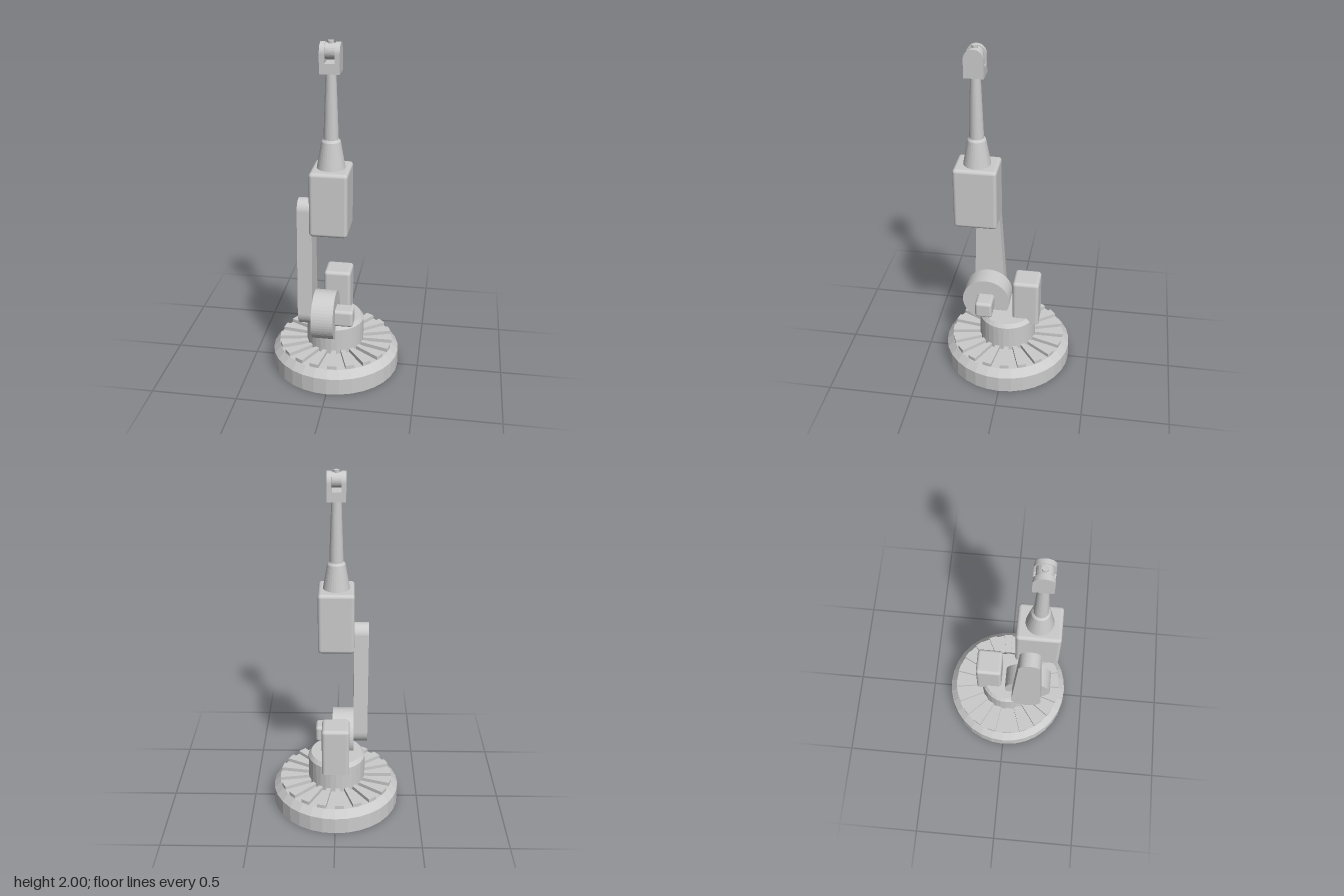
import * as THREE from 'three';
import { RoundedBoxGeometry } from 'three/addons/geometries/RoundedBoxGeometry.js';

const smooth = new THREE.MeshStandardMaterial({ color: 0xcccccc });
const flat = new THREE.MeshStandardMaterial({ color: 0xcccccc, flatShading: true });

export function createModel() {
  const group = new THREE.Group();

  const add = (name, geometry, material = flat, x = 0, y = 0, z = 0) => {
    const mesh = new THREE.Mesh(geometry, material);
    mesh.name = name;
    mesh.position.set(x, y, z);
    group.add(mesh);
    return mesh;
  };

  // turned part from [radius, height] pairs
  const turned = (name, profile, segments, x = 0, z = 0) =>
    add(name, new THREE.LatheGeometry(profile.map(([r, y]) => new THREE.Vector2(r, y)), segments), flat, x, 0, z);

  // rounded box from its minimum and maximum corners
  const roundedBox = (name, min, max, radius) => {
    const s = max.map((v, i) => v - min[i]);
    const c = max.map((v, i) => (v + min[i]) / 2);
    return add(name, new RoundedBoxGeometry(...s, 4, radius), smooth, ...c);
  };

  // outline drawn in (z, y), extruded along x from x0 to x1
  const sidePlate = (name, shape, x0, x1) => {
    const geometry = new THREE.ExtrudeGeometry(shape, { depth: x1 - x0, bevelEnabled: false, curveSegments: 16 });
    geometry.rotateY(-Math.PI / 2); // shape x becomes z, depth becomes -x
    return add(name, geometry, flat, x1, 0, 0);
  };

  // cylinder lying along x
  const axle = (name, radius, x0, x1, y, z, segments) => {
    const geometry = new THREE.CylinderGeometry(radius, radius, x1 - x0, segments);
    geometry.rotateZ(Math.PI / 2);
    return add(name, geometry, flat, (x0 + x1) / 2, y, z);
  };

  // base with chamfered rim
  turned('base', [[0, 0], [0.378, 0], [0.378, 0.1], [0.34, 0.143], [0, 0.143]], 32);

  // raised radial ribs on the base
  const ribCount = 20;
  const halfAngle = Math.PI / ribCount / 2;
  for (let i = 0; i < ribCount; i++) {
    const rib = new THREE.Shape();
    rib.absarc(0, 0, 0.338, -halfAngle, halfAngle, false);
    rib.absarc(0, 0, 0.15, halfAngle, -halfAngle, true);
    const geometry = new THREE.ExtrudeGeometry(rib, { depth: 0.03, bevelEnabled: false, curveSegments: 2 });
    geometry.rotateX(-Math.PI / 2);
    geometry.rotateY((i + 0.5) * 2 * Math.PI / ribCount - halfAngle);
    add('baseRib', geometry, flat, 0, 0.135, 0);
  }

  // turntable
  turned('turntable', [[0, 0.14], [0.17, 0.14], [0.17, 0.302], [0.153, 0.325], [0, 0.325]], 32, -0.004, 0.002);

  // rear motor, its underside flattened to a sharp edge
  const rear = roundedBox('rearMotor', [-0.08, 0.26, -0.194], [0.08, 0.575, -0.036], 0.02);
  const rearPos = rear.geometry.attributes.position;
  const floor = 0.282 - rear.position.y;
  for (let i = 0; i < rearPos.count; i++) rearPos.setY(i, Math.max(rearPos.getY(i), floor));

  // shoulder drum and its small motor
  axle('shoulderDrum', 0.143, -0.106, 0.021, 0.388, 0.133, 48);
  roundedBox('shoulderMotor', [-0.01, 0.335, 0.082], [0.125, 0.437, 0.184], 0.018);

  // upper arm: tapered bar with round ends
  const arm = new THREE.Shape();
  arm.absarc(0.13, 0.425, 0.092, Math.PI, Math.PI * 2, false);
  arm.absarc(0.138, 1.053, 0.062, 0, Math.PI, false);
  sidePlate('upperArm', arm, -0.189, -0.105);

  // elbow housing
  roundedBox('elbowHousing', [-0.105, 0.952, 0.05], [0.105, 1.318, 0.297], 0.02);

  // forearm: conical collar and slim tube
  const wristZ = 0.173;
  turned('forearmCollar', [[0, 1.31], [0.079, 1.31], [0.052, 1.465], [0.042, 1.478], [0, 1.478]], 32, 0, wristZ);
  turned('forearmTube', [[0, 1.47], [0.041, 1.47], [0.028, 1.84], [0, 1.84]], 32, 0, wristZ);

  // wrist fork: block with two round-topped cheeks
  add('forkBase', new THREE.BoxGeometry(0.107, 0.054, 0.108), flat, 0, 1.862, wristZ);
  const cheek = new THREE.Shape();
  cheek.moveTo(wristZ - 0.054, 1.888);
  cheek.lineTo(wristZ + 0.054, 1.888);
  cheek.absarc(wristZ, 1.938, 0.054, 0, Math.PI, false);
  for (const [x0, x1] of [[-0.0535, -0.027], [0.027, 0.0535]]) sidePlate('forkCheek', cheek, x0, x1);

  // wrist roller with a tool pin on top
  axle('wristRoller', 0.043, -0.027, 0.027, 1.945, wristZ, 24);
  add('toolPin', new THREE.CylinderGeometry(0.016, 0.016, 0.04, 20), flat, 0, 1.98, wristZ);

  return group;
}
